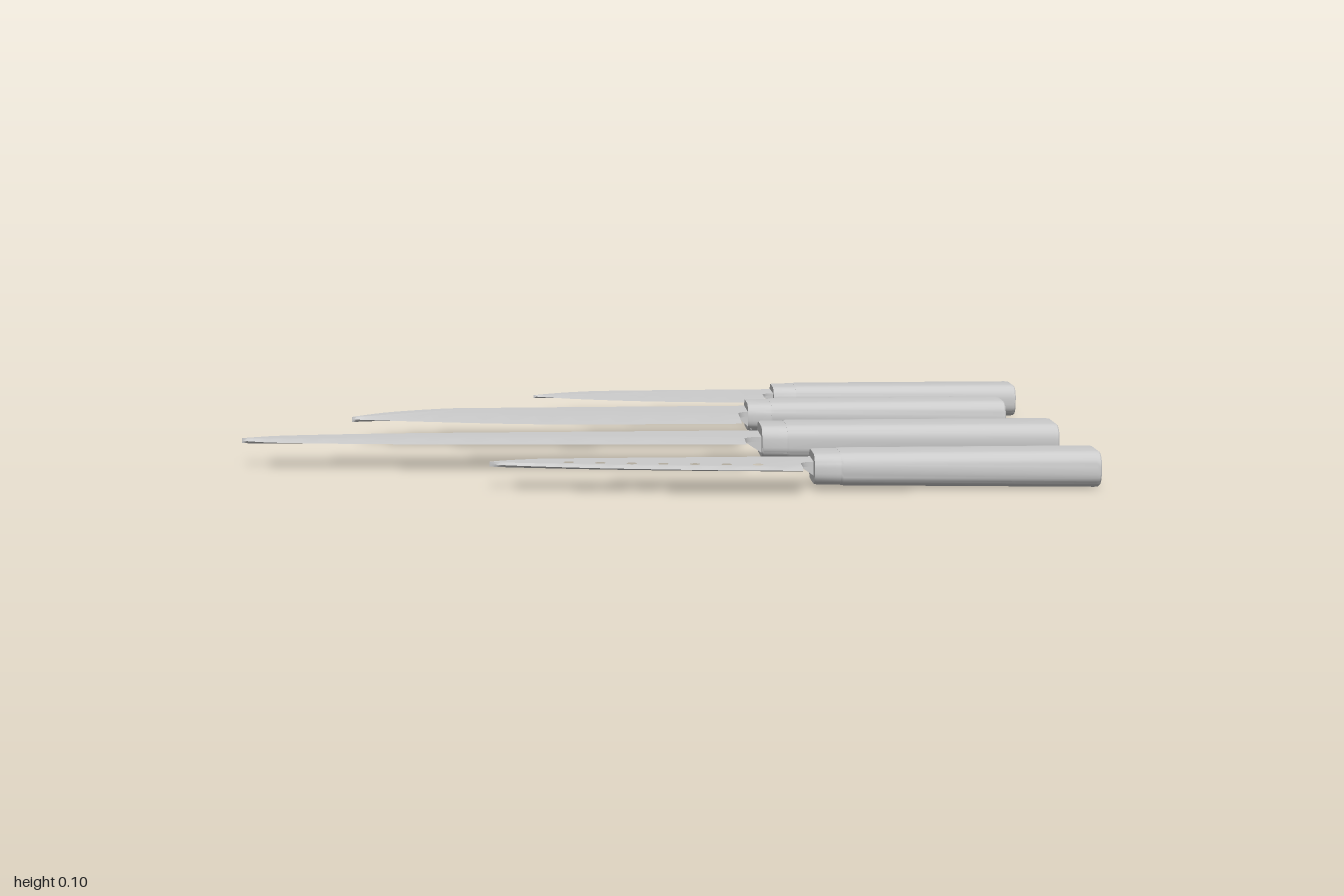
import * as THREE from 'three';
import { mergeGeometries, toCreasedNormals } from 'three/addons/utils/BufferGeometryUtils.js';

const steel = new THREE.MeshStandardMaterial({ color: 0xcccccc });
const STATIONS = 28;

// Outlines are [x, z] pairs running from the tip toward the handle.
const knives = [
  { name: 'utilityKnife', y: 0.062, t: 0.007, bevel: 0.6, neckZ: -0.515,
    spine: [[-0.305, -0.527], [-0.25, -0.56], [-0.18, -0.587], [-0.075, -0.602], [0.36, -0.61]],
    edge: [[-0.305, -0.527], [-0.26, -0.505], [-0.18, -0.47], [-0.02, -0.425], [0.14, -0.4], [0.31, -0.385]],
    handle: { x0: 0.34, x1: 0.995, z: -0.567, w: 0.136, h: 0.084, y: 0.042, y0: 0.047 } },
  { name: 'chefKnife', y: 0.066, t: 0.013, bevel: 0.6, neckZ: -0.14,
    spine: [[-0.76, -0.122], [-0.72, -0.16], [-0.665, -0.2], [-0.555, -0.245], [-0.45, -0.257], [0.26, -0.263]],
    edge: [[-0.76, -0.122], [-0.7, -0.105], [-0.555, -0.07], [-0.36, -0.03], [-0.18, -0.012], [0.213, -0.005]],
    handle: { x0: 0.24, x1: 0.9, z: -0.211, w: 0.138, h: 0.083, y: 0.053, y0: 0.057 } },
  { name: 'slicingKnife', y: 0.064, t: 0.012, bevel: 0.6, neckZ: 0.24,
    spine: [[-1, 0.183], [-0.96, 0.166], [-0.905, 0.15], [-0.715, 0.133], [-0.45, 0.126], [0.26, 0.125]],
    edge: [[-1, 0.183], [-0.97, 0.2], [-0.905, 0.22], [-0.715, 0.246], [-0.395, 0.272], [0.198, 0.297]],
    handle: { x0: 0.24, x1: 0.955, z: 0.178, w: 0.15, h: 0.091, y: 0.051, y0: 0.057 } },
  { name: 'paringKnife', y: 0.058, t: 0.011, bevel: 0.85, neckZ: 0.557,
    spine: [[-0.405, 0.505], [-0.38, 0.492], [-0.33, 0.478], [-0.225, 0.468], [0.35, 0.467]],
    edge: [[-0.405, 0.505], [-0.38, 0.518], [-0.315, 0.537], [-0.155, 0.572], [0.085, 0.608], [0.298, 0.628]],
    holes: [0.52, 0.532, 0.543, 0.551, 0.559, 0.566, 0.572],
    handle: { x0: 0.33, x1: 0.985, z: 0.505, w: 0.137, h: 0.084, y: 0.042, y0: 0.047 } },
];

// Returns z as a function of x along a smooth outline
function outline(points) {
  const pts = new THREE.SplineCurve(points.map(([x, z]) => new THREE.Vector2(x, z))).getPoints(80);
  return x => {
    let i = 1;
    while (i < pts.length - 1 && pts[i].x < x) i++;
    const a = pts[i - 1], b = pts[i];
    return a.y + (b.y - a.y) * THREE.MathUtils.clamp((x - a.x) / (b.x - a.x), 0, 1);
  };
}

function indexed(positions, index) {
  const g = new THREE.BufferGeometry();
  g.setAttribute('position', new THREE.Float32BufferAttribute(positions, 3));
  g.setIndex(index);
  return g.toNonIndexed();
}

function addMesh(group, name, geometry) {
  const mesh = new THREE.Mesh(toCreasedNormals(geometry, 0.5), steel);
  mesh.name = name;
  group.add(mesh);
}

// Flat plate with neck and holes, plus a bevel tapering to the cutting edge
function bladeGeometry(k) {
  const spineZ = outline(k.spine), edgeZ = outline(k.edge);
  const tip = k.edge[0][0], heel = k.edge.at(-1)[0], end = k.spine.at(-1)[0], x0 = k.handle.x0;
  const spine = [], ground = [], strip = [], index = [];
  for (let i = 0; i <= STATIONS; i++) {
    const u = (i / STATIONS) ** 1.7;
    const xs = tip + (end - tip) * u, x = tip + (heel - tip) * u;
    const zb = THREE.MathUtils.lerp(spineZ(x), edgeZ(x), k.bevel);
    spine.push(new THREE.Vector2(xs, -spineZ(xs)));
    ground.push(new THREE.Vector2(x, -zb));
    strip.push(x, k.y + k.t / 2, zb, x, k.y, edgeZ(x), x, k.y - k.t / 2, zb);
    if (i < STATIONS) for (const j of [0, 1]) {
      const a = i * 3 + j;
      index.push(a, a + 1, a + 3, a + 1, a + 4, a + 3);
    }
  }
  const last = STATIONS * 3;
  index.push(last, last + 1, last + 2);

  const neck = new THREE.QuadraticBezierCurve(
    new THREE.Vector2(x0, -k.neckZ + 0.016), new THREE.Vector2(heel + 0.004, -k.neckZ + 0.014),
    new THREE.Vector2(heel, -k.neckZ - 0.008)).getPoints(6);
  const shape = new THREE.Shape([...spine, new THREE.Vector2(end, -k.neckZ + 0.016),
    ...neck, ...ground.reverse().slice(0, -1)]);
  (k.holes ?? []).forEach((z, i) => {
    const hole = new THREE.Path();
    hole.absarc(-0.225 + i * 0.071, -z, 0.012, 0, Math.PI * 2, true);
    shape.holes.push(hole);
  });
  const plate = new THREE.ExtrudeGeometry(shape, { depth: k.t, bevelEnabled: false, curveSegments: 10 });
  plate.rotateX(-Math.PI / 2).translate(0, k.y - k.t / 2, 0);
  plate.deleteAttribute('uv');
  plate.deleteAttribute('normal');
  return mergeGeometries([plate, indexed(strip, index)]);
}

// Wedge under the neck, leading into the collar
function neckGeometry(k) {
  const heel = k.edge.at(-1)[0], x = k.handle.x0 + 0.01, top = k.y - k.t / 2 + 0.001;
  const z0 = k.spine.at(-1)[1] + 0.012;
  const shape = new THREE.Shape([[heel, top], [x, 0.025], [x, top]].map(p => new THREE.Vector2(...p)));
  return new THREE.ExtrudeGeometry(shape, { depth: k.neckZ - 0.016 - z0, bevelEnabled: false }).translate(0, 0, z0);
}

// Rounded-rectangle cross-sections [x, width scale, height scale] joined along x
function loft(h, sections) {
  const r = 0.034, ring = [], pos = [], index = [];
  for (let c = 0; c < 4; c++) for (let s = 0; s <= 6; s++) {
    const a = (c + s / 6) * Math.PI / 2;
    ring.push([Math.cos(a) * r + (c === 0 || c === 3 ? 1 : -1) * (h.w / 2 - r),
      Math.sin(a) * r + (c < 2 ? 1 : -1) * (h.h / 2 - r)]);
  }
  const n = ring.length;
  sections.forEach(([x, sw, sh], s) => {
    const cy = THREE.MathUtils.lerp(h.y0, h.y, (x - h.x0) / (h.x1 - h.x0));
    ring.forEach(([z, y], i) => {
      pos.push(x, cy + y * sh, h.z + z * sw);
      if (s === sections.length - 1) return;
      const a = s * n + i, b = s * n + (i + 1) % n;
      index.push(a, a + n, b, b, a + n, b + n);
    });
  });
  return indexed(pos, index);
}

export function createModel() {
  const model = new THREE.Group();
  model.name = 'knifeSet';
  for (const k of knives) {
    const knife = new THREE.Group(), h = k.handle, joint = h.x0 + 0.06;
    knife.name = k.name;
    addMesh(knife, 'blade', bladeGeometry(k));
    addMesh(knife, 'neck', neckGeometry(k));
    addMesh(knife, 'collar', loft(h, [[h.x0, 0, 0], [h.x0, 0.91, 0.82],
      [h.x0 + 0.005, 0.935, 0.85], [joint + 0.01, 0.95, 0.87]]));
    addMesh(knife, 'handle', loft(h, [[joint, 0, 0], [joint, 0.95, 0.88], [joint + 0.006, 0.975, 0.9],
      [h.x1 - 0.012, 1, 1], [h.x1 - 0.003, 0.985, 0.975], [h.x1, 0.95, 0.92], [h.x1, 0, 0]]));
    model.add(knife);
  }
  return model;
}
